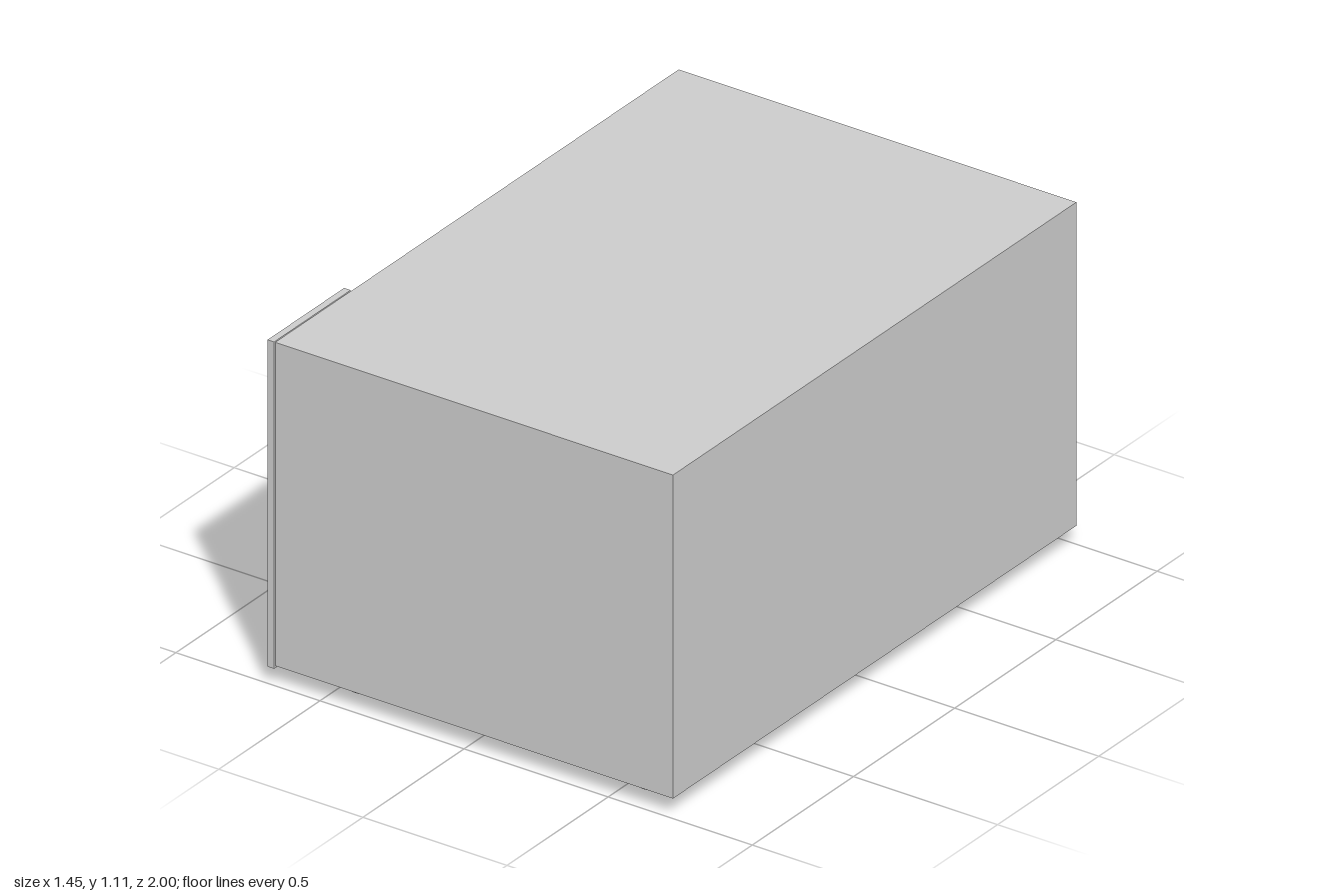
import * as THREE from 'three';

export function createModel() {
  const model = new THREE.Group();
  model.name = 'microwaveOven';
  const grey = new THREE.MeshStandardMaterial({ color: 0xcccccc });
  grey.name = 'light grey';

  const add = (name, geometry, x, y, z) => {
    const mesh = new THREE.Mesh(geometry, grey);
    mesh.name = name;
    mesh.position.set(x, y, z);
    model.add(mesh);
    return mesh;
  };
  const trace = (path, z0, z1, y0, y1) => {
    path.moveTo(z0, y0);
    path.lineTo(z1, y0);
    path.lineTo(z1, y1);
    path.lineTo(z0, y1);
    path.closePath();
    return path;
  };

  // Casing: a sleeve around the cooking chamber, open towards -x
  const outline = trace(new THREE.Shape(), -1, 0.993, 0.06, 1.104);
  outline.holes.push(trace(new THREE.Path(), -0.92, 0.53, 0.15, 1.025));
  const sleeve = new THREE.ExtrudeGeometry(outline, { depth: 1.3, bevelEnabled: false });
  add('casing', sleeve, 0.64, 0, 0).rotation.y = -Math.PI / 2;
  add('closedEnd', new THREE.BoxGeometry(0.08, 1.044, 1.993), 0.68, 0.582, -0.0035);

  // Control panel: chamfered on its top, bottom and outer edges
  const panel = new THREE.BoxGeometry(0.045, 1.055, 0.378, 2, 1, 1);
  const p = panel.attributes.position;
  for (let i = 0; i < p.count; i++) {
    if (p.getX(i) > -0.02) continue;
    p.setY(i, p.getY(i) - Math.sign(p.getY(i)) * 0.057);
    if (p.getZ(i) > 0) p.setZ(i, p.getZ(i) - 0.06);
  }
  const facetedPanel = panel.toNonIndexed();
  facetedPanel.computeVertexNormals();
  add('controlPanel', facetedPanel, -0.6825, 0.5805, 0.81);

  // Rows of paired push buttons
  for (const y of [0.87, 0.8, 0.727, 0.657, 0.21])
    for (const z of [0.73, 0.845])
      add('button', new THREE.BoxGeometry(0.01, 0.028, 0.1), -0.707, y, z);

  // Round dial
  const dial = new THREE.CylinderGeometry(0.082, 0.082, 0.024, 40);
  add('dial', dial, -0.714, 0.378, 0.785).rotation.z = Math.PI / 2;

  // Door pegs on the inner side of the panel
  for (const y of [0.77, 0.41])
    add('doorPeg', new THREE.CylinderGeometry(0.01, 0.01, 0.024, 16), -0.676, y, 0.61).rotation.x = Math.PI / 2;

  // Tapered feet
  for (const x of [-0.445, 0.555])
    for (const z of [-0.837, 0.86])
      add('foot', new THREE.CylinderGeometry(0.061, 0.044, 0.062, 28), x, 0.031, z);

  return model;
}
